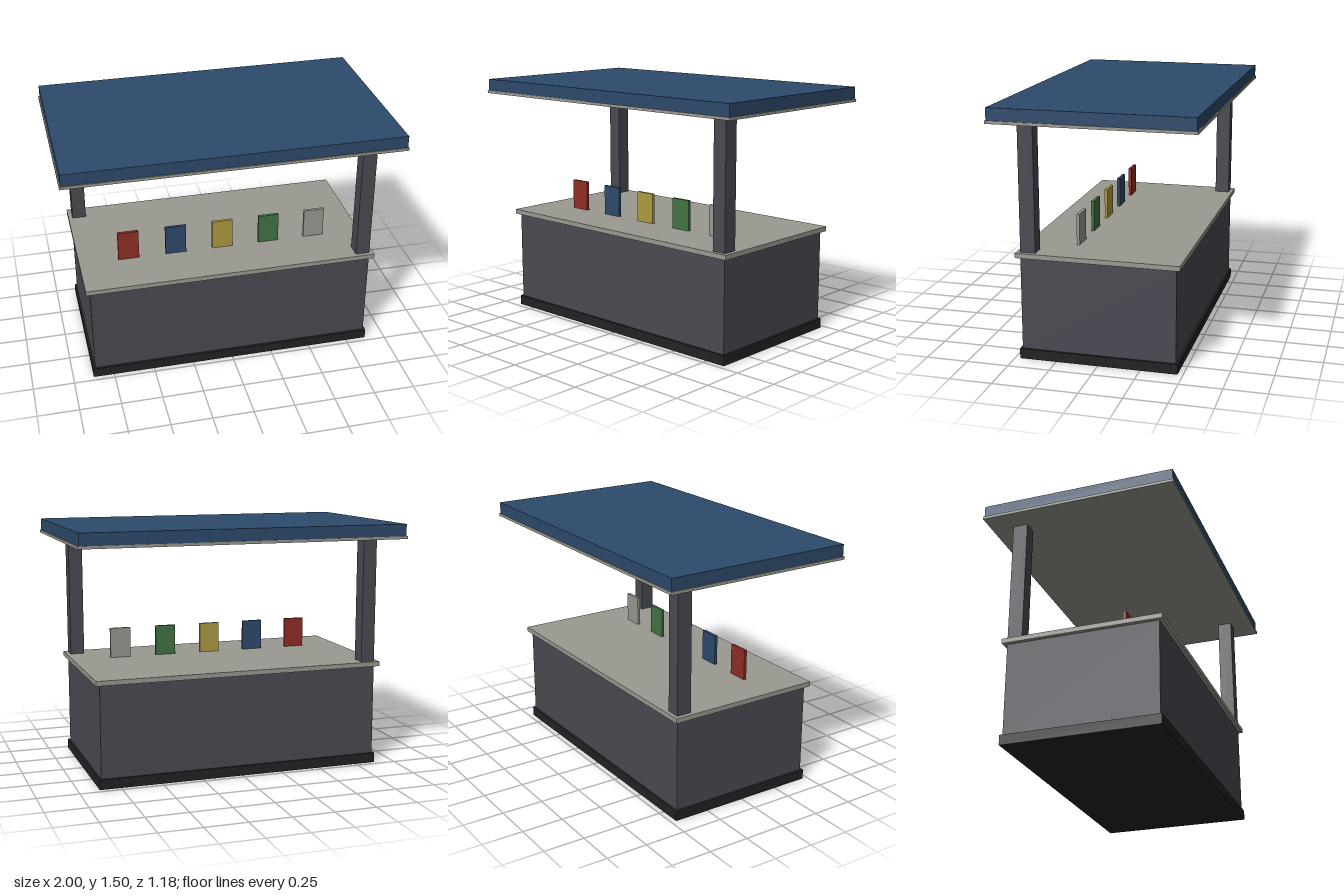
import * as THREE from 'three';

const paint = (name, color) => {
  const m = new THREE.MeshStandardMaterial({ color });
  m.name = name;
  return m;
};

export function createModel() {
  const charcoal = paint('charcoal', 0x4a4a53);
  const black = paint('black', 0x232323);
  const stone = paint('stone grey', 0x9a9a91);
  const navy = paint('navy blue', 0x2e4a6c);
  const red = paint('red', 0x912d27);
  const yellow = paint('yellow', 0xae9b43);
  const green = paint('green', 0x427443);

  const group = new THREE.Group();
  group.name = 'kiosk';

  // Box standing on y0 and reaching y1
  const slab = (name, material, w, d, y0, y1, x = 0, z = 0) => {
    const mesh = new THREE.Mesh(new THREE.BoxGeometry(w, y1 - y0, d), material);
    mesh.name = name;
    mesh.position.set(x, (y0 + y1) / 2, z);
    group.add(mesh);
  };

  // Counter: plinth, body and worktop
  slab('plinth', black, 1.754, 0.938, 0, 0.06);
  slab('counterBody', charcoal, 1.728, 0.912, 0.06, 0.616);
  slab('worktop', stone, 1.78, 0.96, 0.616, 0.645);

  // Two posts on diagonally opposite corners
  for (const s of [1, -1]) {
    slab(s > 0 ? 'frontLeftPost' : 'backRightPost', charcoal,
      0.086, 0.09, 0.645, 1.406, s * 0.821, s * 0.411);
  }

  // Canopy with a thin projecting trim beneath
  slab('canopyTrim', stone, 2, 1.184, 1.406, 1.423);
  slab('canopy', navy, 1.986, 1.172, 1.423, 1.495);

  // Row of upright display cards
  [red, navy, yellow, green, stone].forEach((material, i) => {
    slab('displayCard' + (i + 1), material, 0.128, 0.018, 0.645, 0.831, (i - 2) * 0.293, 0.177);
  });

  return group;
}
